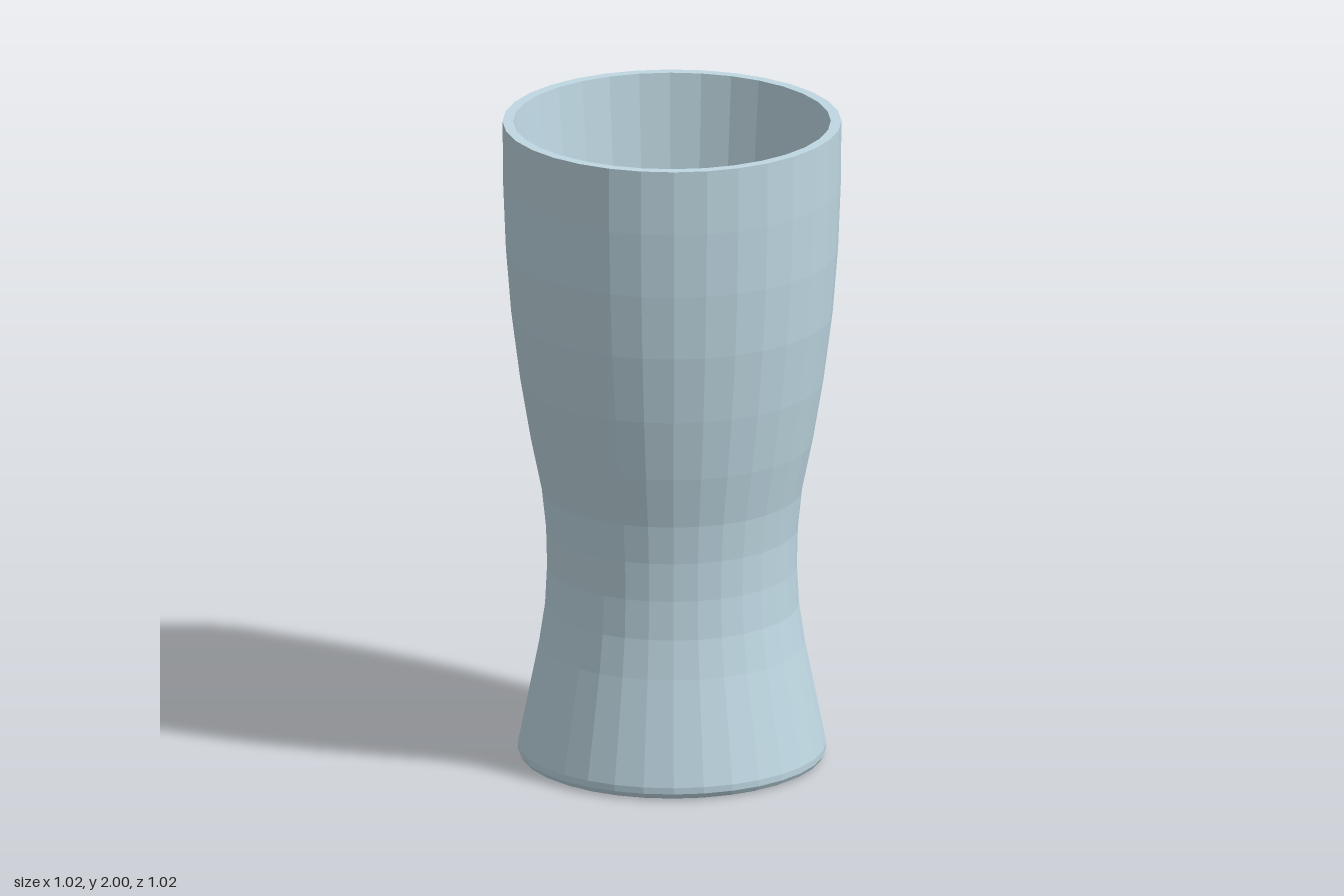
import * as THREE from 'three';

export function createModel() {
  const model = new THREE.Group();
  model.name = 'drinkingGlass';
  const material = new THREE.MeshStandardMaterial({ color: 0xbfd8e3, flatShading: true });
  const SIDES = 32;

  // Lathe a list of [radius, height] pairs around the y axis
  const addLathe = (name, profile) => {
    const points = profile.map(([r, y]) => new THREE.Vector2(r, y));
    const mesh = new THREE.Mesh(new THREE.LatheGeometry(points, SIDES), material);
    mesh.name = name;
    model.add(mesh);
  };

  // Flat underside, rounded foot edge, narrow waist and flared outer wall
  addLathe('outerWall', [
    [0, 0], [0.44, 0], [0.455, 0.007], [0.463, 0.02], [0.464, 0.04],
    [0.4, 0.36], [0.382, 0.48], [0.376, 0.6], [0.379, 0.72], [0.392, 0.84],
    [0.425, 1.0], [0.457, 1.19], [0.484, 1.4], [0.5, 1.6], [0.508, 1.8], [0.51, 2],
  ]);

  // Flat ring round the mouth
  addLathe('rim', [[0.51, 2], [0.478, 2]]);

  // Tapered inside wall down to the floor above the solid base
  addLathe('innerWall', [[0.478, 2], [0.361, 0.7]]);
  addLathe('innerFloor', [[0.361, 0.7], [0, 0.7]]);

  return model;
}
